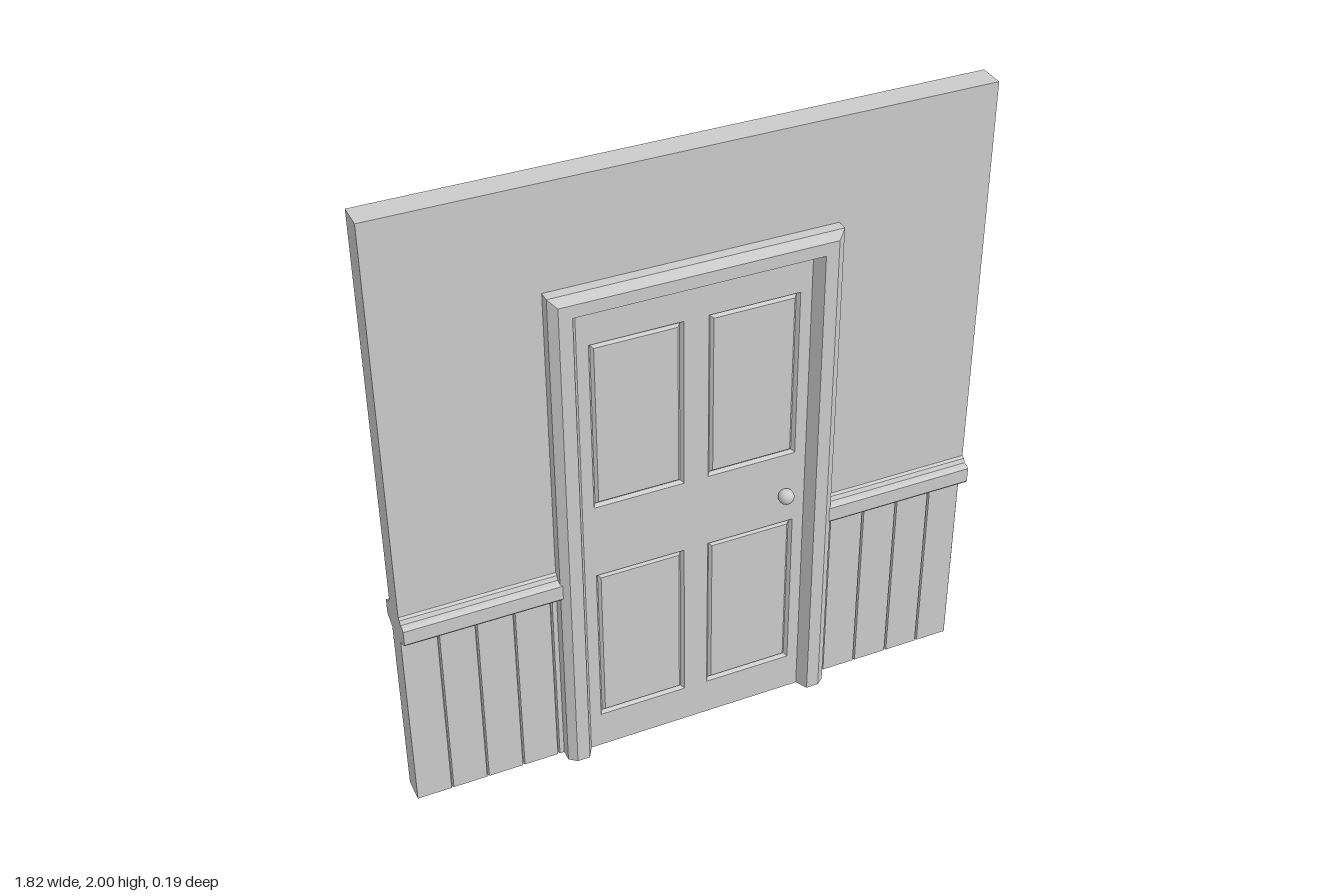
import * as THREE from 'three';

const material = new THREE.MeshStandardMaterial({ color: 0xcccccc });
const W = 0.912;       // half width of the wall
const CX = -0.001;     // centre line of the doorway
const DOOR_Z = 0.055;  // half thickness of the door
const CASING = 0.4375; // half width of the casing

function add(parent, name, geometry, x = 0, y = 0, z = 0) {
  const mesh = new THREE.Mesh(geometry, material);
  mesh.name = name;
  mesh.position.set(x, y, z);
  parent.add(mesh);
  return mesh;
}

const shapeOf = (pts) => new THREE.Shape(pts.map(([x, y]) => new THREE.Vector2(x, y)));
const extrude = (shape, depth) => new THREE.ExtrudeGeometry(shape, { depth, bevelEnabled: false });

// Mirror a front half profile [[a, z]...] to the back, giving a closed outline
const mirrorZ = (pts) => [...pts, ...pts.map(([a, z]) => [a, -z]).reverse()];

// Mitred moulding round a rectangle; profile points are [inset, z].
// An open moulding has no bottom run and its legs stand on y0.
function moulding(x0, x1, y0, y1, profile, open) {
  const corners = ([i, z]) => {
    const bottom = open ? y0 : y0 + i;
    const c = [[x0 + i, bottom, z], [x0 + i, y1 - i, z], [x1 - i, y1 - i, z], [x1 - i, bottom, z]];
    return open ? c : [...c, c[0]];
  };
  const pos = [];
  for (let p = 0; p < profile.length - 1; p++) {
    const A = corners(profile[p]), B = corners(profile[p + 1]);
    for (let k = 0; k < A.length - 1; k++) {
      pos.push(...A[k], ...B[k], ...B[k + 1], ...A[k], ...B[k + 1], ...A[k + 1]);
    }
  }
  const g = new THREE.BufferGeometry();
  g.setAttribute('position', new THREE.Float32BufferAttribute(pos, 3));
  g.computeVertexNormals();
  return g;
}

// Plain plaster wall above the rail, notched for the doorway
function buildWall(group) {
  const L = CX - 0.4, R = CX + 0.4;
  const shape = shapeOf([[-W, 0.65], [L, 0.65], [L, 1.63], [R, 1.63], [R, 0.65], [W, 0.65], [W, 2], [-W, 2]]);
  add(group, 'upperWall', extrude(shape, 0.08).translate(0, 0, -0.04));
}

// Finely grooved boards and a moulded rail on one side of the doorway
function buildWainscot(group, side) {
  const start = 0.41, z = 0.038;
  const front = [[start, z]];
  for (const g of [0.456, 0.571, 0.687, 0.801]) {
    front.push([g - 0.0035, z], [g, z - 0.007], [g + 0.0035, z]);
  }
  if (side > 0) front.push([W - 0.005, z], [W, z - 0.007]);
  else front.push([W, z]);
  const outline = mirrorZ(front).map(([x, d]) => [side * x, d]);
  add(group, 'wainscotBoards', extrude(shapeOf(outline), 0.645).rotateX(-Math.PI / 2));

  const half = [[0.63, 0.036], [0.633, 0.05], [0.641, 0.058], [0.644, 0.072], [0.652, 0.078],
    [0.7, 0.078], [0.706, 0.07], [0.708, 0.056], [0.721, 0.05], [0.725, 0.04]];
  const profile = mirrorZ(half).map(([y, d]) => [d, y]);
  const rail = extrude(shapeOf(profile), W - start).rotateY(Math.PI / 2);
  add(group, 'chairRail', rail, side > 0 ? start : -W);
}

// Chamfered casing running through the wall
function buildCasing(group) {
  const half = [[0, 0.073], [0.024, 0.092], [0.064, 0.092], [0.084, DOOR_Z]];
  const profile = mirrorZ(half);
  const frame = new THREE.Group();
  frame.name = 'doorCasing';
  frame.position.x = CX;
  group.add(frame);
  add(frame, 'casingMoulding', moulding(-CASING, CASING, 0, 1.674, [...profile, profile[0]], true));
  for (const s of [-1, 1]) {
    const foot = shapeOf(profile.map(([i, z]) => [s * (CASING - i), z]));
    add(frame, 'casingFoot', new THREE.ShapeGeometry(foot).rotateX(Math.PI / 2));
  }
}

// Four-panel door, the same on both faces
function buildDoor(group) {
  const door = new THREE.Group();
  door.name = 'door';
  door.position.x = CX;
  group.add(door);

  const panels = [];
  for (const s of [-1, 1]) {
    for (const [y0, y1] of [[0.127, 0.682], [0.932, 1.487]]) {
      panels.push([s * 0.178 - 0.14, s * 0.178 + 0.14, y0, y1]);
    }
  }
  const slab = shapeOf([[-0.3545, 0], [0.3545, 0], [0.3545, 1.592], [-0.3545, 1.592]]);
  for (const [x0, x1, y0, y1] of panels) {
    slab.holes.push(shapeOf([[x0, y0], [x0, y1], [x1, y1], [x1, y0]]));
  }
  add(door, 'doorSlab', extrude(slab, 2 * DOOR_Z).translate(0, 0, -DOOR_Z));

  // Each panel field is set off by a narrow V groove
  const fieldZ = DOOR_Z - 0.003, inset = 0.016;
  const groove = [[0, DOOR_Z], [0.008, DOOR_Z - 0.011], [inset, fieldZ]];
  for (const [x0, x1, y0, y1] of panels) {
    const field = new THREE.BoxGeometry(x1 - x0 - 2 * inset, y1 - y0 - 2 * inset, 2 * fieldZ);
    add(door, 'doorPanel', field, (x0 + x1) / 2, (y0 + y1) / 2);
    for (const turn of [0, Math.PI]) {
      add(door, 'panelGroove', moulding(x0, x1, y0, y1, groove, false)).rotation.y = turn;
    }
  }

  // Round knob set close to the door, front and back
  for (const s of [-1, 1]) {
    add(door, 'doorKnob', new THREE.SphereGeometry(0.0245, 24, 16), 0.286, 0.79, s * 0.072);
  }
}

export function createModel() {
  const group = new THREE.Group();
  group.name = 'wallWithDoor';
  buildWall(group);
  for (const side of [-1, 1]) buildWainscot(group, side);
  buildCasing(group);
  buildDoor(group);
  return group;
}
